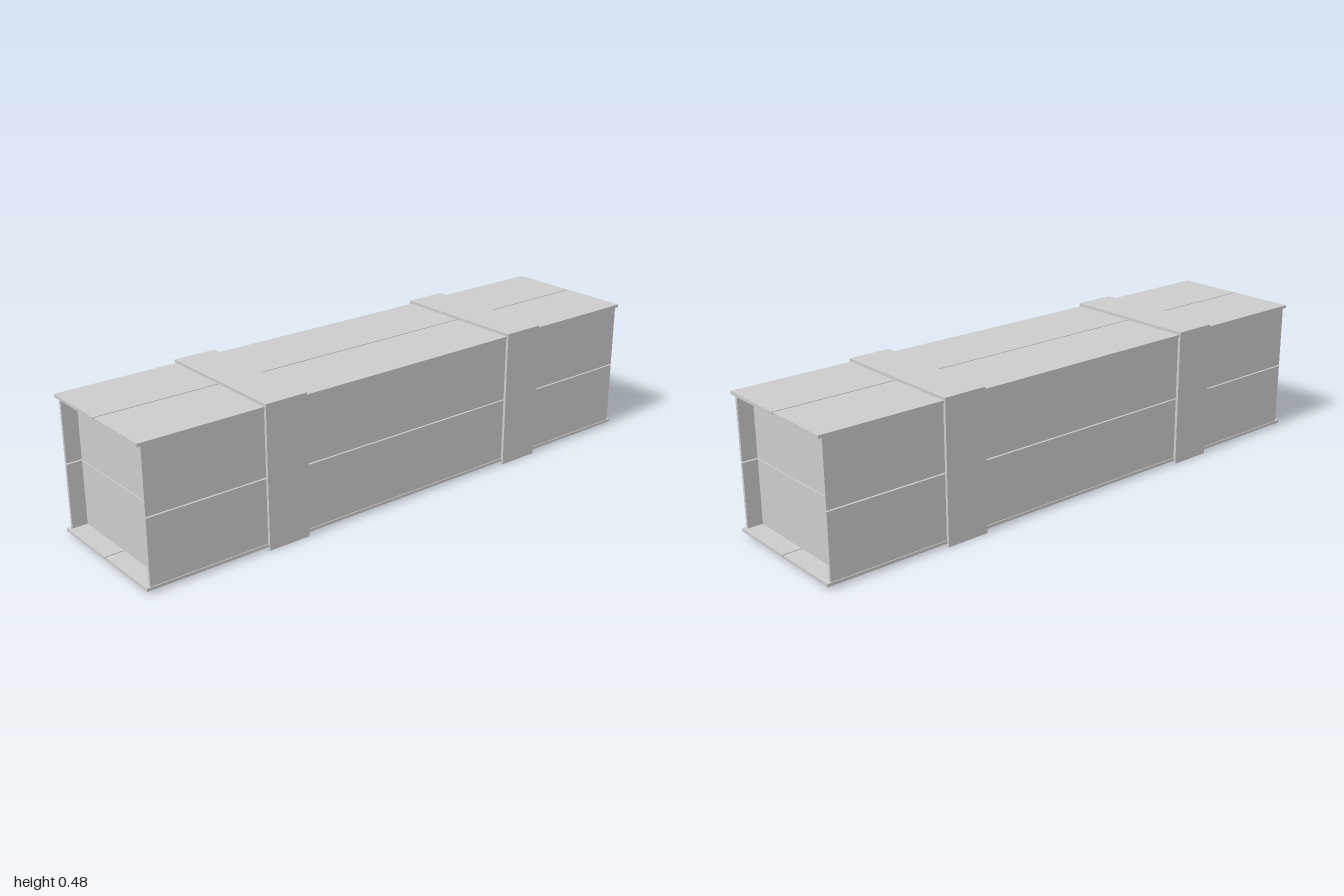
import * as THREE from 'three';

export function createModel() {
  const crate = new THREE.Group();
  crate.name = 'crate';
  const wood = new THREE.MeshStandardMaterial({ color: 0xcccccc, flatShading: true });
  const midY = 0.24, gap = 0.004, thick = 0.01;

  function board(name, w, h, d, x, y, z) {
    const mesh = new THREE.Mesh(new THREE.BoxGeometry(w, h, d), wood);
    mesh.name = name;
    mesh.position.set(x, y, z);
    crate.add(mesh);
  }

  const lidWidth = 0.243 - gap / 2;   // one plank of the lid or floor
  const wallHeight = 0.22 - gap / 2;  // one plank of a wall or end
  for (const a of [-1, 1]) {
    for (const b of [-1, 1]) {
      // Lid and floor: two planks each, split along z = 0
      board(a > 0 ? 'lidPlank' : 'floorPlank', 2, thick, lidWidth,
        0, midY + a * 0.225, b * (gap + lidWidth) / 2);
      const y = midY + b * (gap + wallHeight) / 2;
      // Long walls: an upper and a lower plank
      board(a > 0 ? 'frontPlank' : 'backPlank', 1.974, wallHeight, thick, 0, y, a * 0.235);
      // Ends, set in from the rim
      board(a > 0 ? 'leftEndPlank' : 'rightEndPlank', thick, wallHeight, 0.46, a * 0.93, y, 0);
    }
  }

  // Straps: rectangular bands around the box
  const rectangle = (path, hw, hh) => path
    .moveTo(-hw, -hh).lineTo(hw, -hh).lineTo(hw, hh).lineTo(-hw, hh).closePath();
  const outline = new THREE.Shape();
  rectangle(outline, 0.25, 0.24);
  const opening = new THREE.Path();
  rectangle(opening, 0.24, 0.23);
  outline.holes.push(opening);
  const band = new THREE.ExtrudeGeometry(outline, { depth: 0.15, bevelEnabled: false });
  band.translate(0, 0, -0.075).rotateY(Math.PI / 2);
  for (const side of [-1, 1]) {
    const strap = new THREE.Mesh(band, wood);
    strap.name = side > 0 ? 'leftStrap' : 'rightStrap';
    strap.position.set(side * 0.5, midY, 0);
    crate.add(strap);
  }
  return crate;
}
